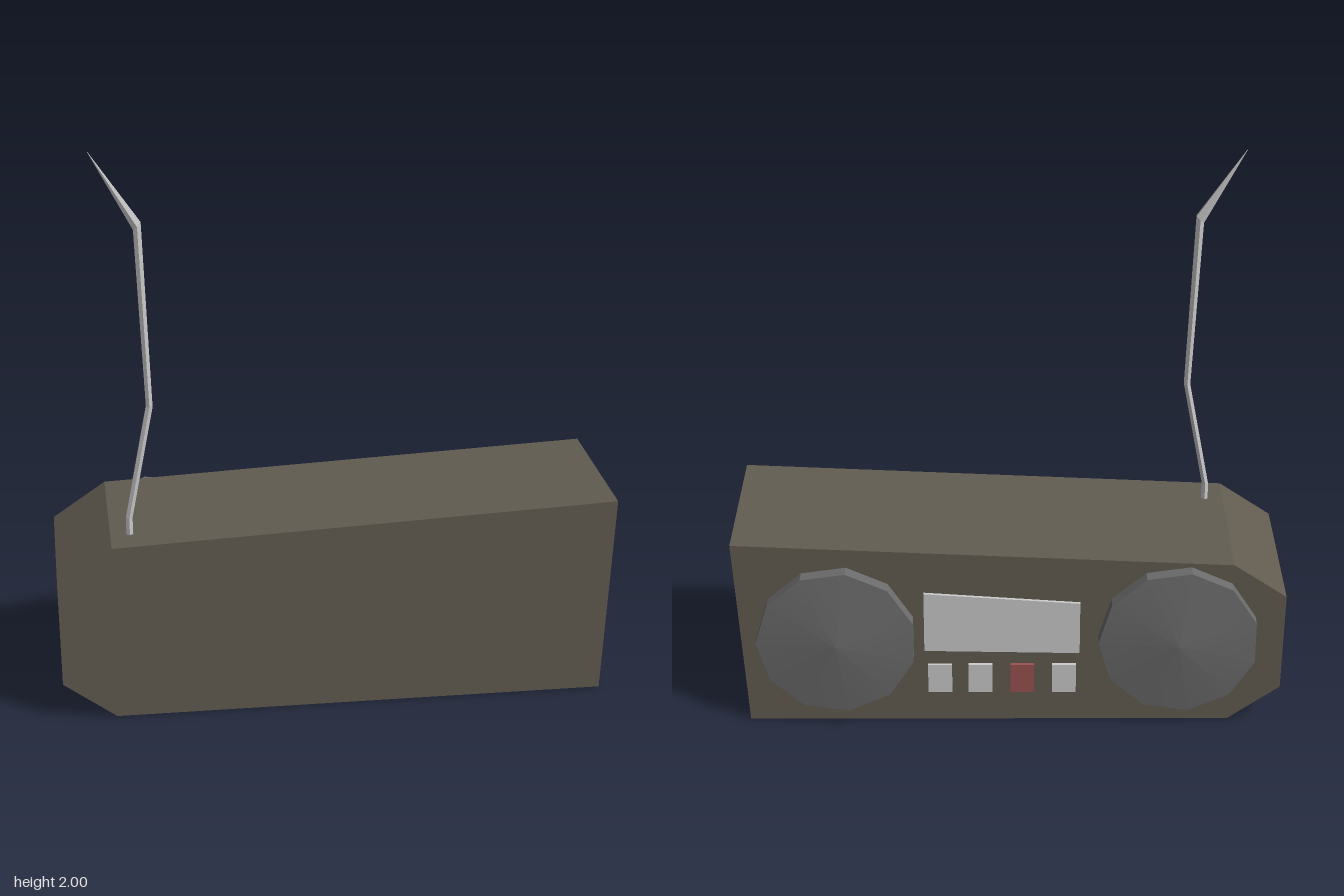
import * as THREE from 'three';

const mat = (color) => new THREE.MeshStandardMaterial({ color, flatShading: true });
const BACK = -0.272;

// Extrude an outline in x,y between two z positions
function slab(name, points, z0, z1, material) {
  const shape = new THREE.Shape(points.map(([x, y]) => new THREE.Vector2(x, y)));
  const geo = new THREE.ExtrudeGeometry(shape, { depth: z1 - z0, bevelEnabled: false });
  geo.translate(0, 0, z0);
  const mesh = new THREE.Mesh(geo, material);
  mesh.name = name;
  return mesh;
}

// Eleven-sided rim with a shallow cone on it
function speaker(name, x) {
  const R = 0.285, N = 11;
  const group = new THREE.Group();
  group.name = name;
  const rimGeo = new THREE.CylinderGeometry(R, R, 0.05, N, 1, true, Math.PI / 2);
  rimGeo.translate(0, 0.025, 0).rotateX(-Math.PI / 2);
  const coneGeo = new THREE.ConeGeometry(R, 0.028, N, 1, true, Math.PI / 2);
  coneGeo.translate(0, 0.064, 0).rotateX(-Math.PI / 2);
  const rim = new THREE.Mesh(rimGeo, mat(0x6c6c6c));
  rim.name = 'speakerRim';
  const cone = new THREE.Mesh(coneGeo, new THREE.MeshStandardMaterial({ color: 0x6c6c6c }));
  cone.name = 'speakerCone';
  group.add(rim, cone);
  group.position.set(x, 0.35, BACK);
  return group;
}

// Bent antenna: rings of a cylinder moved onto a kinked path
function antenna() {
  // x, y, radius, slope of the ring, from tip to base
  const rings = [
    [-0.82, 2.0, 0.001, 0],
    [-0.666, 1.745, 0.015, 0.9],
    [-0.642, 1.11, 0.013, -0.1],
    [-0.722, 0.705, 0.013, -0.1],
    [-0.722, 0.62, 0.014, 0],
  ];
  const geo = new THREE.CylinderGeometry(1, 1, 1, 6, rings.length - 1, true);
  const p = geo.attributes.position;
  for (let i = 0; i < p.count; i++) {
    const [x, y, r, slope] = rings[Math.round((0.5 - p.getY(i)) * (rings.length - 1))];
    const dx = p.getX(i) * r;
    p.setXYZ(i, x + dx, y + dx * slope, 0.226 + p.getZ(i) * r);
  }
  geo.computeVertexNormals();
  const mesh = new THREE.Mesh(geo, mat(0xcccccc));
  mesh.name = 'antenna';
  return mesh;
}

export function createModel() {
  const model = new THREE.Group();
  model.name = 'radio';

  // Skewed case with two clipped corners
  model.add(slab('case', [
    [-0.79, 0], [0.94, 0], [0.98, 0.72], [-0.79, 0.64], [-0.98, 0.51], [-0.975, 0.135],
  ], BACK, 0.344, mat(0x625c50)));

  model.add(speaker('leftSpeaker', 0.617), speaker('rightSpeaker', -0.6));

  // Display panel
  model.add(slab('display', [
    [-0.25, 0.285], [0.305, 0.295], [0.305, 0.53], [-0.25, 0.49],
  ], BACK - 0.011, BACK, mat(0xcccccc)));

  // Row of buttons, one of them red
  [0.25, 0.105, -0.045, -0.195].forEach((x, i) => {
    const w = 0.043;
    model.add(slab('button' + (i + 1), [
      [x - w, 0.12], [x + w, 0.12], [x + w, 0.236], [x - w, 0.236],
    ], BACK - 0.011, BACK, mat(i === 2 ? 0x9c5151 : 0xcccccc)));
  });

  model.add(antenna());
  return model;
}
